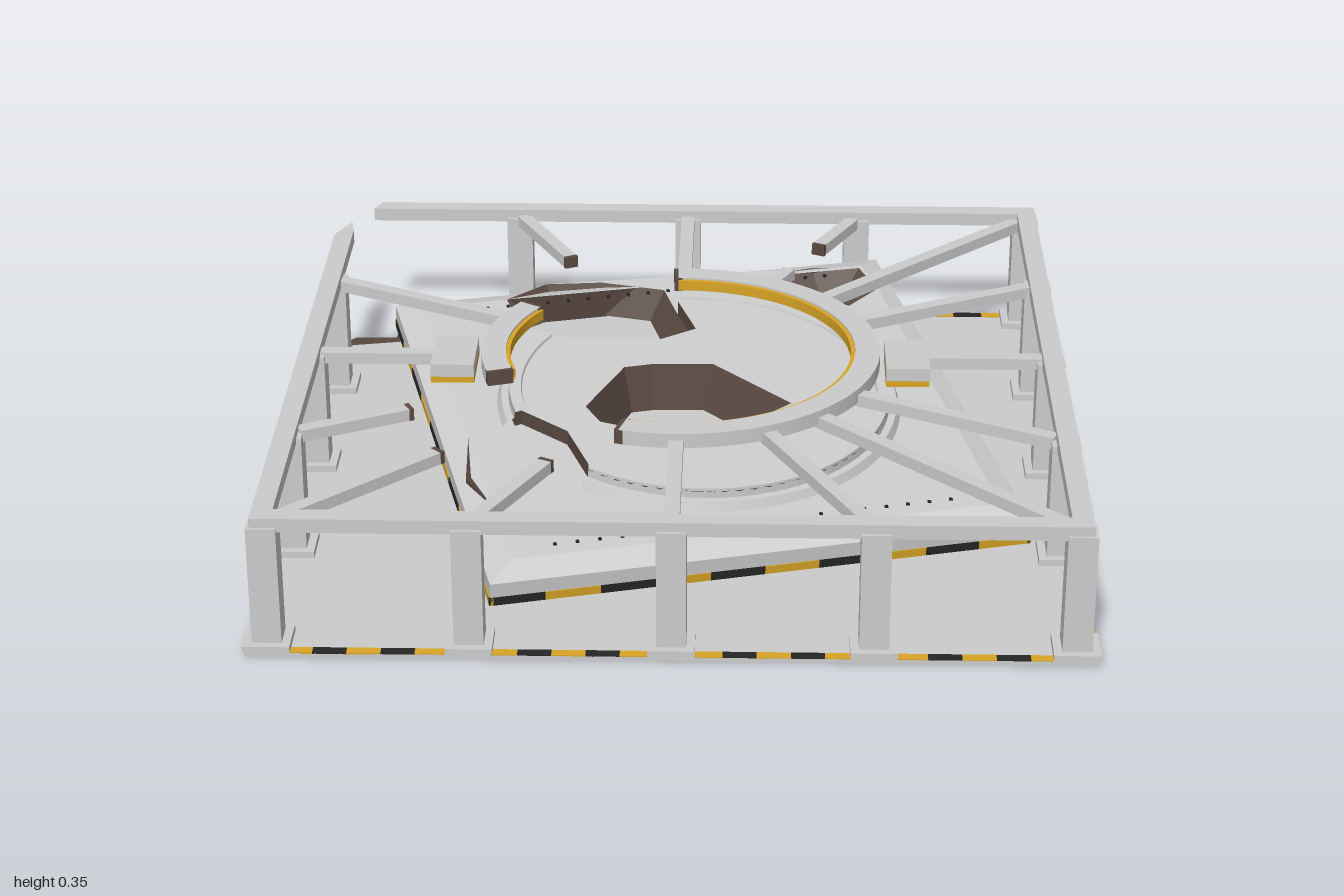
import * as THREE from 'three';

const paint = (color) => new THREE.MeshStandardMaterial({ color, flatShading: true, side: THREE.DoubleSide });
const grey = paint(0xcccccc), brown = paint(0x5a4a42), yellow = paint(0xd8a526), black = paint(0x262626);
const DEG = Math.PI / 180;

function add(parent, name, geometry, material = grey) {
  const mesh = new THREE.Mesh(geometry, material);
  mesh.name = name;
  parent.add(mesh);
  return mesh;
}
function box(parent, name, size, pos, material = grey, turn = 0) {
  const mesh = add(parent, name, new THREE.BoxGeometry(...size), material);
  mesh.position.set(...pos);
  mesh.rotation.y = turn;
  return mesh;
}
// horizontal plate from [x, z] outline points, between heights y and y + h
function plate(parent, name, outline, holes, y, h, material) {
  const flip = (pts) => pts.map(([x, z]) => new THREE.Vector2(x, -z));
  const shape = new THREE.Shape(flip(outline));
  shape.holes = holes.map((pts) => new THREE.Path(flip(pts)));
  const geo = new THREE.ExtrudeGeometry(shape, { depth: h, bevelEnabled: false });
  geo.rotateX(-Math.PI / 2).translate(0, y, 0);
  return add(parent, name, geo, material);
}
// wall joining two [x, z] outlines at two heights
function wall(parent, name, top, yTop, low, yLow, closed) {
  const v = [], n = top.length;
  for (let i = 0; i < (closed ? n : n - 1); i++) {
    const j = (i + 1) % n;
    const a = [top[i][0], yTop, top[i][1]], b = [top[j][0], yTop, top[j][1]];
    const c = [low[j][0], yLow, low[j][1]], d = [low[i][0], yLow, low[i][1]];
    v.push(...a, ...b, ...c, ...a, ...c, ...d);
  }
  const geo = new THREE.BufferGeometry();
  geo.setAttribute('position', new THREE.Float32BufferAttribute(v, 3));
  geo.computeVertexNormals();
  return add(parent, name, geo, brown);
}
// profile [r, y] swept round y between two angles, measured from +x towards +z
function arc(parent, name, profile, a0, a1, material = grey) {
  const pts = profile.map(([r, y]) => new THREE.Vector2(r, y));
  const segs = Math.ceil((a1 - a0) / 4);
  return add(parent, name, new THREE.LatheGeometry(pts, segs, (90 - a1) * DEG, (a1 - a0) * DEG), material);
}
const rect = (r0, r1, y0, y1) => [[r0, y0], [r1, y0], [r1, y1], [r0, y1], [r0, y0]];

// alternating warning blocks along the four sides of a square
function stripes(parent, half, count, y, thick, height, skip = () => false) {
  const step = (half * 2) / count;
  for (let side = 0; side < 4; side++) {
    const c = Math.round(Math.cos(side * Math.PI / 2)), s = Math.round(Math.sin(side * Math.PI / 2));
    for (let i = 0; i < count; i++) {
      const t = -half + step * (i + 0.5), d = half - thick / 2;
      const x = t * c + d * s, z = d * c - t * s;
      if (skip(x, z)) continue;
      box(parent, 'warningStripe', [step, height, thick], [x, y, z], i % 2 ? yellow : black, side * Math.PI / 2);
    }
  }
}

function addGround(root) {
  const edge = [[-0.73, -0.995], [-0.77, -0.77], [-0.92, -0.74], [-0.995, -0.72]];
  const low = [[-0.8, -0.995], [-0.82, -0.81], [-0.93, -0.81], [-0.995, -0.74]];
  plate(root, 'ground', [...edge, [-0.995, 0.995], [0.995, 0.995], [0.995, -0.995]], [], 0, 0.01);
  wall(root, 'brokenGroundEdge', edge, 0.0095, low, 0.001, false);
  stripes(root, 0.995, 25, 0.0105, 0.025, 0.004, (x, z) => (x < -0.73 && z < -0.95) || (x < -0.95 && z < -0.73));
}

function addFrame(root) {
  // posts with foot plates; one corner is missing
  for (let i = -2; i <= 2; i++) for (let j = -2; j <= 2; j++) {
    if (Math.max(Math.abs(i), Math.abs(j)) < 2 || (i === -2 && j === -2)) continue;
    const x = i * 0.4715, z = j * 0.4715;
    box(root, 'post', [0.07, 0.31, 0.07], [x, 0.17, z]);
    box(root, 'postFoot', [0.11, 0.018, 0.11], [x, 0.018, z]);
  }
  // top beams, two of them cut short with slanted ends
  const h = 0.97, w = 0.92;
  const beams = [
    [[-h, w], [h, w], [h, h], [-h, h]],
    [[w, -h], [h, -h], [h, h], [w, h]],
    [[-0.86, -h], [h, -h], [h, -w], [-0.88, -w]],
    [[-h, -0.73], [-0.93, -0.82], [-w, -0.76], [-w, h], [-h, h]],
  ];
  beams.forEach((b) => plate(root, 'topBeam', b, [], 0.313, 0.035));
  // struts towards the ring: [outer x, outer z, inner fraction, broken]
  const struts = [
    [0, 0.92, 0.52], [0, -0.92, 0.52], [0.92, 0, 0.6], [-0.92, 0, 0.6],
    [0.46, 0.92, 0.48], [0.92, 0.46, 0.48], [0.92, -0.46, 0.48], [-0.92, -0.46, 0.49],
    [0.92, 0.92, 0.38], [0.92, -0.92, 0.38],
    [0.46, -0.92, 0.79, 1], [0.28, -0.56, 0.85], [-0.46, -0.92, 0.68, 1],
    [-0.92, 0.46, 0.72, 1], [-0.92, 0.92, 0.62, 1], [-0.46, 0.92, 0.67, 1],
  ];
  for (const [x, z, f, broken] of struts) {
    const r = Math.hypot(x, z), turn = Math.atan2(x, z), m = (1 + f) / 2;
    box(root, 'strut', [0.036, 0.03, r * (1 - f)], [x * m, 0.317, z * m], grey, turn);
    if (broken) box(root, 'brokenStrutEnd', [0.037, 0.031, 0.012], [x * f, 0.317, z * f], brown, turn);
  }
  // overhead ring in two surviving pieces, with inner trim
  for (const [a0, a1] of [[-92, 106], [162, 213]]) {
    arc(root, 'overheadRing', rect(0.445, 0.508, 0.312, 0.35), a0, a1);
    arc(root, 'ringTrim', rect(0.434, 0.446, 0.318, 0.345), a0, a1, yellow);
    for (const a of [a0, a1]) {
      const x = Math.cos(a * DEG) * 0.475, z = Math.sin(a * DEG) * 0.475;
      box(root, 'brokenRingEnd', [0.066, 0.037, 0.022], [x, 0.331, z], brown, -a * DEG);
    }
  }
  // side lamps
  for (const s of [-1, 1]) {
    box(root, 'lampHousing', [0.11, 0.034, 0.175], [s * 0.577, 0.317, 0]);
    box(root, 'lamp', [0.11, 0.016, 0.175], [s * 0.577, 0.292, 0], yellow);
  }
}

function addSlab(root) {
  const slab = new THREE.Group();
  slab.name = 'tiltedSlab';
  const turn = 15 * DEG, cx = 0.045, cz = 0.02;
  slab.rotation.set(6.2 * DEG, turn, 0, 'YXZ');
  slab.position.set(cx, 0.128, cz);
  root.add(slab);
  const local = (pts) => pts.map(([x, z]) => {
    const dx = x - cx, dz = z - cz;
    return [dx * Math.cos(turn) - dz * Math.sin(turn), dx * Math.sin(turn) + dz * Math.cos(turn)];
  });
  const middle = local([[-0.15, -0.07], [-0.08, -0.09], [0.08, -0.1], [0.28, 0.08], [0.06, 0.28], [-0.2, 0.2], [-0.24, 0.13]]);
  const rear = local([[-0.48, -0.47], [-0.38, -0.56], [-0.23, -0.58], [-0.06, -0.55], [-0.02, -0.42],
    [0.03, -0.28], [-0.06, -0.22], [-0.3, -0.21], [-0.45, -0.38]]);
  const front = local([[-0.53, 0.21], [-0.4, 0.16], [-0.28, 0.25], [-0.22, 0.4], [-0.3, 0.45], [-0.46, 0.52], [-0.52, 0.42]]);
  const corner = local([[0.23, -0.66], [0.34, -0.7], [0.47, -0.71], [0.52, -0.6], [0.44, -0.5], [0.36, -0.53]]);

  // body with craters, bevelled rim, warning stripes and rivets
  const q = 0.61, e = 0.672;
  plate(slab, 'slabBody', [[-q, -q], [q, -q], [q, q], [-q, q]], [middle, rear, front, corner], 0, 0.083, [grey, brown]);
  const rim = [[q, 0], [e, 0], [e, 0.06], [q, 0.083]].map(([r, y]) => new THREE.Vector2(r * Math.SQRT2, y));
  add(slab, 'slabRim', new THREE.LatheGeometry(rim, 4, Math.PI / 4));
  stripes(slab, 0.674, 10, 0.011, 0.01, 0.022);
  for (const s of [-1, 1]) for (let i = -9; i <= 9; i++) {
    box(slab, 'rivet', [0.008, 0.006, 0.008], [i * 0.055, 0.084, s * 0.57], black);
  }

  // sloping crater walls: outline, rim height, floor size, floor centre
  const craters = [[middle, 0.123, 0.8], [rear, 0.083, 0.78], [corner, 0.083, 0.35], [front, 0.083, 0.02, local([[-0.42, 0.26]])[0]]];
  for (const [pts, y, k, centre] of craters) {
    const [mx, mz] = centre || [0, 1].map((a) => pts.reduce((sum, p) => sum + p[a], 0) / pts.length);
    wall(slab, 'craterWall', pts, y, pts.map(([x, z]) => [mx + (x - mx) * k, mz + (z - mz) * k]), 0.003, true);
  }

  // round platform, notched where the craters bite into it
  const runs = [[-97, 123], [162, 211]];
  const round = ([a0, a1]) => {
    const out = [];
    for (let i = 0; i <= 48; i++) {
      const a = (a0 + (a1 - a0) * i / 48 ) * DEG;
      out.push([cx + 0.485 * Math.cos(a), cz + 0.485 * Math.sin(a)]);
    }
    return out;
  };
  const outline = local([...round(runs[0]), [-0.22, 0.4], [-0.28, 0.25], [-0.4, 0.16],
    ...round(runs[1]), [-0.3, -0.21], [-0.06, -0.22], [0.03, -0.28], [-0.02, -0.42]]);
  plate(slab, 'platform', outline, [middle], 0.083, 0.04, [grey, brown]);
  for (const [a0, a1] of runs) {
    const shift = turn / DEG;
    arc(slab, 'platformRim', [[0.515, 0.083], [0.505, 0.105], [0.487, 0.105], [0.484, 0.13], [0.455, 0.13], [0.452, 0.122]], a0 + shift, a1 + shift);
  }
}

export function createModel() {
  const root = new THREE.Group();
  root.name = 'ruinedPlatform';
  addGround(root);
  addFrame(root);
  addSlab(root);
  return root;
}
